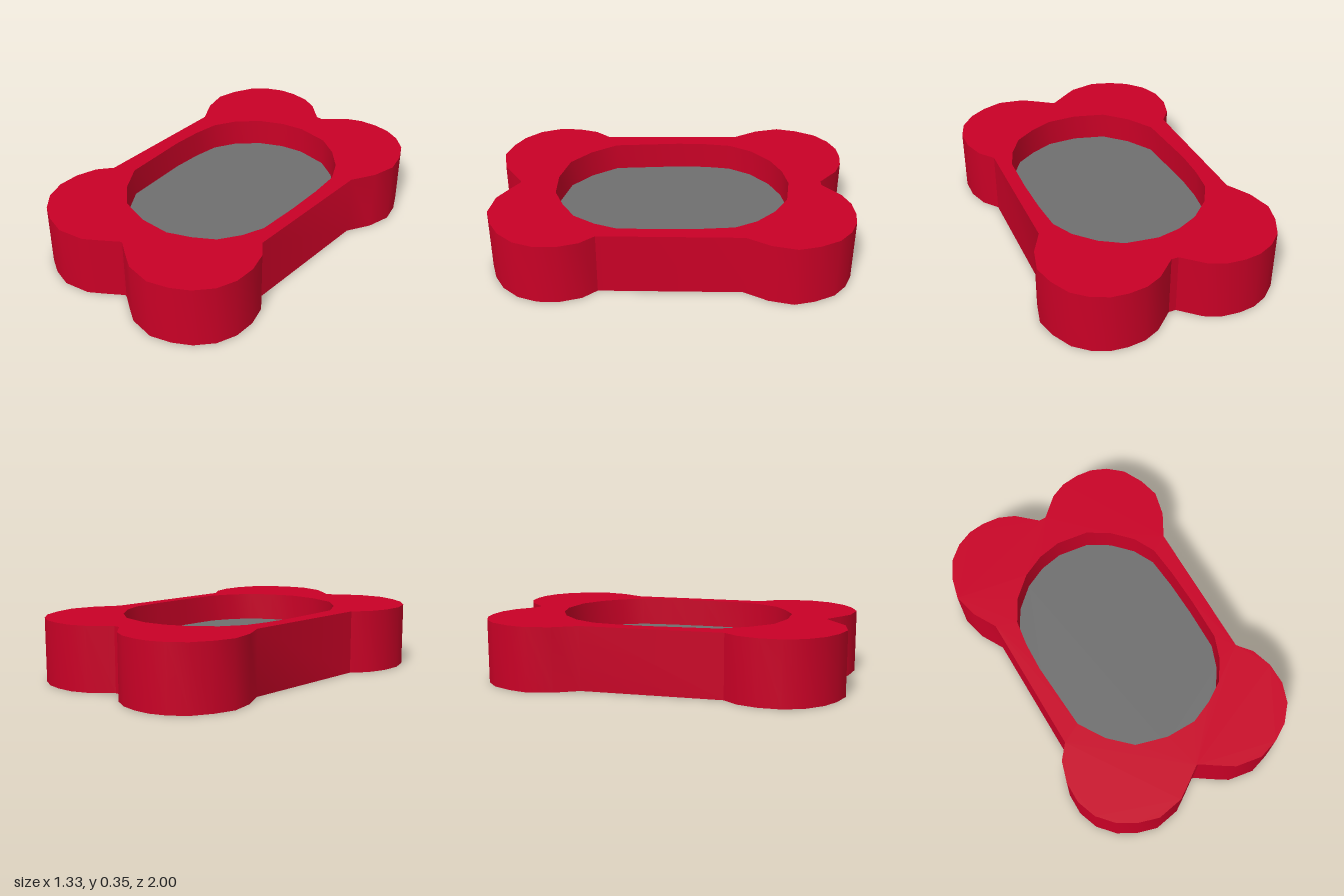
import * as THREE from 'three';
import { toCreasedNormals } from 'three/addons/utils/BufferGeometryUtils.js';

const HEIGHT = 0.355;
const FLOOR = 0.195;

// Right half of the bone outline as [x, z], back notch to front notch
const half = [
  [0.02, -0.85], [0.13, -0.95], [0.22, -0.99], [0.32, -1], [0.41, -0.99], [0.5, -0.95],
  [0.58, -0.88], [0.635, -0.77], [0.663, -0.655], [0.63, -0.52], [0.557, -0.39],
  [0.55, 0.395], [0.615, 0.475], [0.65, 0.59], [0.65, 0.71], [0.61, 0.82], [0.53, 0.91],
  [0.435, 0.965], [0.32, 1], [0.175, 0.975], [0.09, 0.92], [0.006, 0.862],
];
// Slightly uneven oval of the bowl, front to back by the left side
const oval = [
  [0, -0.665], [-0.13, -0.64], [-0.255, -0.58], [-0.37, -0.475], [-0.44, -0.35],
  [-0.46, -0.205], [-0.465, -0.04], [-0.44, 0.34], [-0.35, 0.485], [-0.23, 0.6],
  [-0.055, 0.65], [0.115, 0.65], [0.245, 0.595], [0.355, 0.525], [0.43, 0.41],
  [0.475, 0.29], [0.48, 0.05], [0.475, -0.16], [0.46, -0.34], [0.4, -0.46],
  [0.3, -0.565], [0.18, -0.64],
];

// Points in plan, with z flipped for shapes that are laid face up
const plan = (points, sign) => points.map(([x, z]) => new THREE.Vector2(x, sign * z));

export function createModel() {
  const group = new THREE.Group();
  group.name = 'boneShapedBowl';
  const red = new THREE.MeshStandardMaterial({ color: 0xc90026 });
  const grey = new THREE.MeshStandardMaterial({ color: 0x6f6f6f });
  const add = (name, geometry, material) => {
    const mesh = new THREE.Mesh(geometry, material);
    mesh.name = name;
    group.add(mesh);
    return mesh;
  };

  // Mirrored outline
  const mirrored = half.map(([x, z]) => [-x, z]).reverse();
  const outline = [...half, ...mirrored];

  // Bone-shaped wall; the opening runs opposite to the outline so it faces inwards
  const wall = new THREE.Shape(plan(outline, -1));
  wall.holes.push(new THREE.Path(plan(oval, -1)));
  const body = new THREE.ExtrudeGeometry(wall, { depth: HEIGHT, bevelEnabled: false });
  body.rotateX(-Math.PI / 2);
  add('bowlBody', toCreasedNormals(body, 0.6), red);

  // Sunken floor of the bowl
  const floor = new THREE.ShapeGeometry(new THREE.Shape(plan(oval, -1)));
  floor.rotateX(-Math.PI / 2);
  add('bowlFloor', floor, grey).position.y = FLOOR;

  // Underside closing the opening
  const underside = new THREE.ShapeGeometry(new THREE.Shape(plan(oval, 1)));
  underside.rotateX(Math.PI / 2);
  add('underside', underside, red);

  return group;
}
